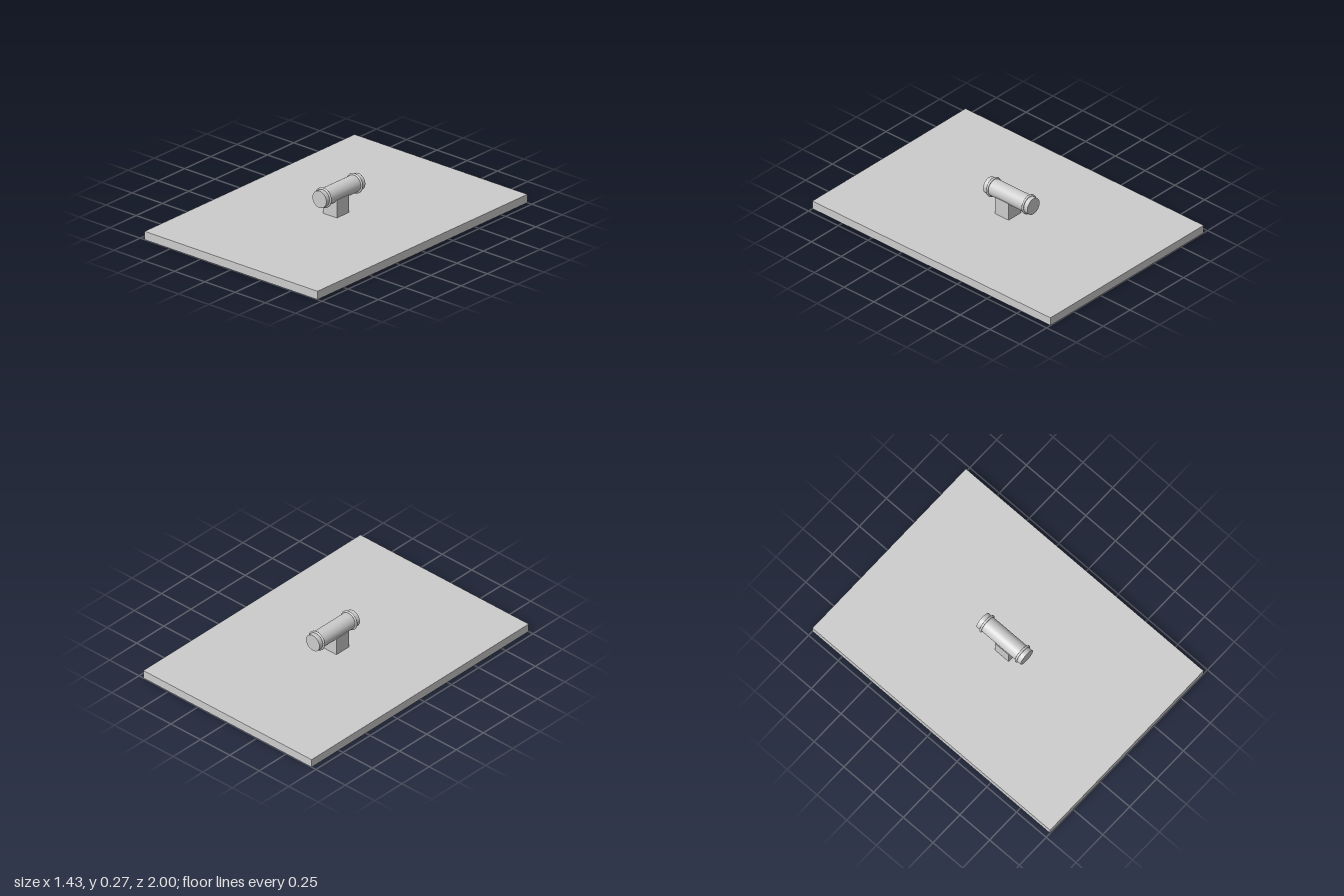
import * as THREE from 'three';

export function createModel() {
  const model = new THREE.Group();
  const grey = new THREE.MeshStandardMaterial({ color: 0xcccccc });
  grey.name = 'grey';

  const add = (name, geometry, x, y, z) => {
    const mesh = new THREE.Mesh(geometry, grey);
    mesh.name = name;
    mesh.position.set(x, y, z);
    model.add(mesh);
  };

  // Flat base and square post
  add('basePlate', new THREE.BoxGeometry(1.427, 0.057, 2), 0, 0.0285, 0);
  add('post', new THREE.BoxGeometry(0.114, 0.125, 0.114), 0, 0.1145, 0);

  // Horizontal barrel, set slightly towards the back
  const barrel = new THREE.CylinderGeometry(0.057, 0.057, 0.372, 48).rotateX(Math.PI / 2);
  const axisY = 0.2;
  const barrelZ = -0.028;
  add('barrel', barrel, 0, axisY, barrelZ);

  // Rounded band near each end
  const band = new THREE.TorusGeometry(0.06, 0.0072, 16, 48);
  for (const [name, side] of [['frontBand', 1], ['backBand', -1]]) {
    add(name, band, 0, axisY, barrelZ + side * 0.149);
  }

  return model;
}
